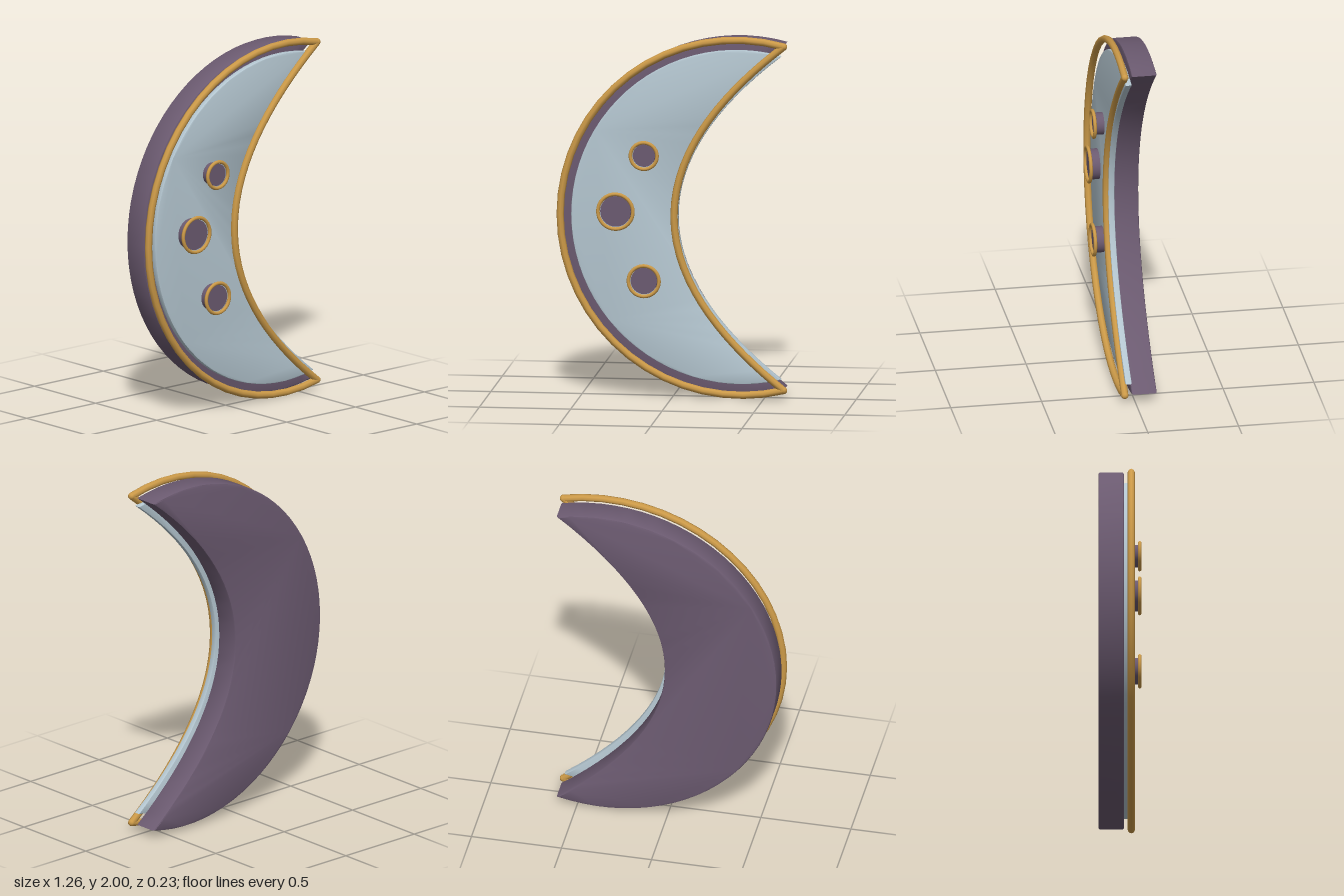
import * as THREE from 'three';
import { toCreasedNormals } from 'three/addons/utils/BufferGeometryUtils.js';

const CX = 0.365, CY = 1.0, R = 0.978;   // centre and radius of the outer arc
const TIP_X = 0.61, INNER_X = 0.01;      // horn tips and middle of the inner edge
const TIP_DY = Math.sqrt(R * R - (TIP_X - CX) ** 2);
const TIP_ANGLE = Math.atan2(TIP_DY, TIP_X - CX);

// Outer arc from the upper to the lower tip, relative to the arc centre
function outerPoints(n) {
  return Array.from({ length: n + 1 }, (_, i) => {
    const a = TIP_ANGLE + (2 * Math.PI - 2 * TIP_ANGLE) * i / n;
    return new THREE.Vector2(R * Math.cos(a), R * Math.sin(a));
  });
}

// Parabolic inner edge from the lower to the upper tip
function innerPoints(n) {
  return Array.from({ length: n + 1 }, (_, i) => {
    const t = -1 + 2 * i / n;
    return new THREE.Vector2(INNER_X + (TIP_X - INNER_X) * t * t - CX, TIP_DY * t);
  });
}

// Bevelled crescent plate between two depths
function crescent(scale, zBack, zFront, bevel) {
  const pts = [...outerPoints(48), ...innerPoints(32).slice(1, -1)].map(p => p.multiplyScalar(scale));
  const geo = new THREE.ExtrudeGeometry(new THREE.Shape(pts), {
    depth: zFront - zBack - 2 * bevel,
    bevelEnabled: true, bevelThickness: bevel, bevelSize: bevel, bevelOffset: -bevel, bevelSegments: 2,
  });
  geo.translate(CX, CY, zBack + bevel);
  return toCreasedNormals(geo, 0.5);
}

export function createModel() {
  const model = new THREE.Group();
  model.name = 'crescentMoon';
  const material = (name, color) => {
    const m = new THREE.MeshStandardMaterial({ color });
    m.name = name;
    return m;
  };
  const purple = material('dusky purple', 0x6b5a70);
  const blue = material('pale blue', 0xb4c6d0);
  const gold = material('gold', 0xcc9a48);

  const add = (name, geo, mat, parent = model) => {
    const mesh = new THREE.Mesh(geo, mat);
    mesh.name = name;
    parent.add(mesh);
    return mesh;
  };

  // Thick body and smaller face plate
  add('body', crescent(1, -0.118, 0.02, 0.01), purple);
  add('facePlate', crescent(0.94, 0.018, 0.052, 0.005), blue);

  // Gold wire rim floating in front of the body
  const rim = new THREE.Group();
  rim.name = 'rim';
  rim.position.set(CX, CY, 0.06);
  model.add(rim);
  const wire = (name, pts) => {
    const curve = new THREE.CatmullRomCurve3(pts.map(p => new THREE.Vector3(p.x, p.y, 0)));
    add(name, new THREE.TubeGeometry(curve, 32, 0.02, 8), gold, rim);
  };
  wire('outerRim', outerPoints(32));
  wire('innerRim', innerPoints(24));
  for (const s of [1, -1]) {
    add('rimTip', new THREE.SphereGeometry(0.02, 10, 8), gold, rim).position.set(TIP_X - CX, s * TIP_DY, 0);
  }

  // Round studs, each with a gold ring
  for (const [x, y, r] of [[-0.15, 1.337, 0.083], [-0.305, 1.027, 0.106], [-0.15, 0.647, 0.094]]) {
    const stud = new THREE.Group();
    stud.name = 'stud';
    stud.position.set(x, y, 0);
    model.add(stud);
    const disc = new THREE.CylinderGeometry(r - 0.022, r - 0.022, 0.055, 32).rotateX(Math.PI / 2);
    add('studDisc', disc, purple, stud).position.z = 0.0735;
    add('studRing', new THREE.TorusGeometry(r - 0.01, 0.01, 8, 32), gold, stud).position.z = 0.106;
  }
  return model;
}
